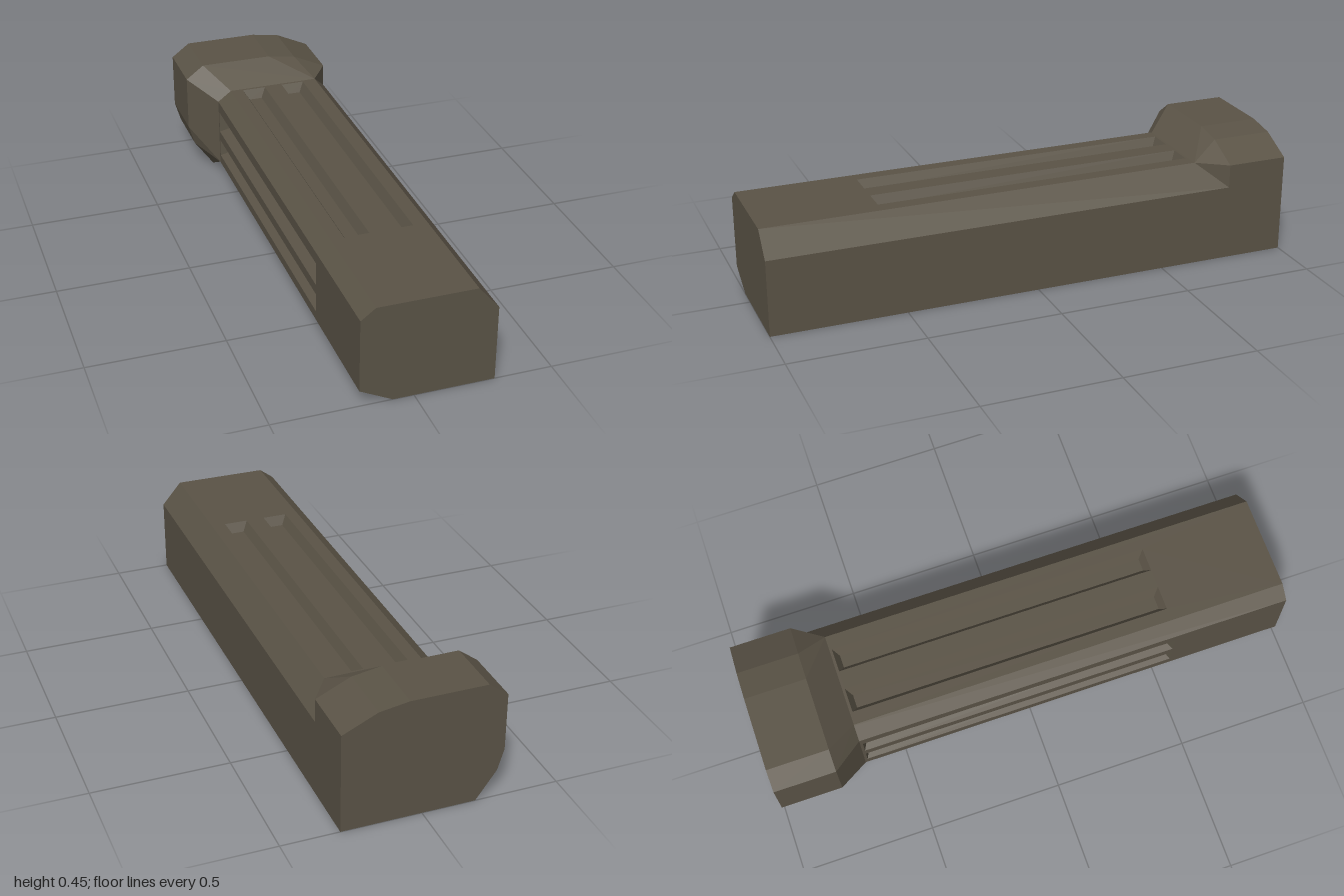
import * as THREE from 'three';
import { ConvexGeometry } from 'three/addons/geometries/ConvexGeometry.js';
import { mergeGeometries } from 'three/addons/utils/BufferGeometryUtils.js';

const FRONT = 1, COLLAR = -0.66, HEAD = -0.77, BACK = -1;
const GROOVE = { z0: -0.65, z1: 0.56, inset: 0.021, depth: 0.035 };

// Cross-section of the shaft, counter-clockwise seen from the front
const shaftSection = [
  [0.29, 0], [0.29, 0.285], [0.215, 0.373], [-0.14, 0.373],
  [-0.193, 0.333], [-0.193, 0.06], [-0.075, 0],
];

// Cross-section of the wider head
const headSection = [
  [0.29, 0], [0.29, 0.373], [0.163, 0.432], [0.055, 0.449], [-0.223, 0.449],
  [-0.293, 0.397], [-0.293, 0.183], [-0.27, 0.105], [-0.195, 0],
];

// Grooves by section edge, as spans along that edge
const grooves = {
  2: [[0.054, 0.144], [0.215, 0.307]],
  4: [[0.043, 0.13], [0.168, 0.238]],
};

const rect = (s0, s1, z0, z1) => [[s0, z0], [s1, z0], [s1, z1], [s0, z1]];
const toShape = (pts) => new THREE.Shape(pts.map(([x, y]) => new THREE.Vector2(x, y)));

function flat(shape) {
  const g = new THREE.ShapeGeometry(shape).toNonIndexed();
  g.deleteAttribute('uv');
  return g;
}

// Sunken trough with sloping walls, in the plane of its panel
function trough([s0, s1]) {
  const { z0, z1, inset: i, depth } = GROOVE;
  const outer = rect(s0, s1, z0, z1).map((p) => [...p, 0]);
  const inner = rect(s0 + i, s1 - i, z0 + i, z1 - i).map((p) => [...p, -depth]);
  const pos = [];
  const quad = (a, b, c, d) => pos.push(...a, ...b, ...c, ...a, ...c, ...d);
  for (let k = 0; k < 4; k++) {
    const n = (k + 1) % 4;
    quad(outer[k], outer[n], inner[n], inner[k]);
  }
  quad(...inner);
  const g = new THREE.BufferGeometry();
  g.setAttribute('position', new THREE.Float32BufferAttribute(pos, 3));
  g.computeVertexNormals();
  return g;
}

// One long side of the shaft, between section points a and b
function panel(a, b, spans = []) {
  const u = new THREE.Vector3(b[0] - a[0], b[1] - a[1], 0);
  const length = u.length();
  u.normalize();
  const v = new THREE.Vector3(0, 0, 1);
  const n = u.clone().cross(v);
  const shape = toShape(rect(0, length, HEAD, FRONT));
  for (const [s0, s1] of spans) {
    shape.holes.push(toShape(rect(s0, s1, GROOVE.z0, GROOVE.z1)));
  }
  const g = mergeGeometries([flat(shape), ...spans.map(trough)]);
  return g.applyMatrix4(new THREE.Matrix4().makeBasis(u, v, n).setPosition(a[0], a[1], 0));
}

export function createModel() {
  const group = new THREE.Group();
  const material = new THREE.MeshStandardMaterial({ color: 0x5a5346 });
  const add = (name, geometry) => {
    const mesh = new THREE.Mesh(geometry, material);
    mesh.name = name;
    group.add(mesh);
  };

  // Grooved shaft with its front end
  const sides = shaftSection.map((p, i) =>
    panel(p, shaftSection[(i + 1) % shaftSection.length], grooves[i]));
  add('shaft', mergeGeometries([...sides, flat(toShape(shaftSection)).translate(0, 0, FRONT)]));

  // Head, with a collar that tapers down onto the shaft
  const at = (z) => ([x, y]) => new THREE.Vector3(x, y, z);
  add('head', new ConvexGeometry([
    ...headSection.map(at(BACK)),
    ...headSection.map(at(HEAD)),
    ...shaftSection.slice(2, 6).map(at(COLLAR)),
    ...[shaftSection[1], shaftSection[6]].map(at(HEAD)),
  ]));

  return group;
}
